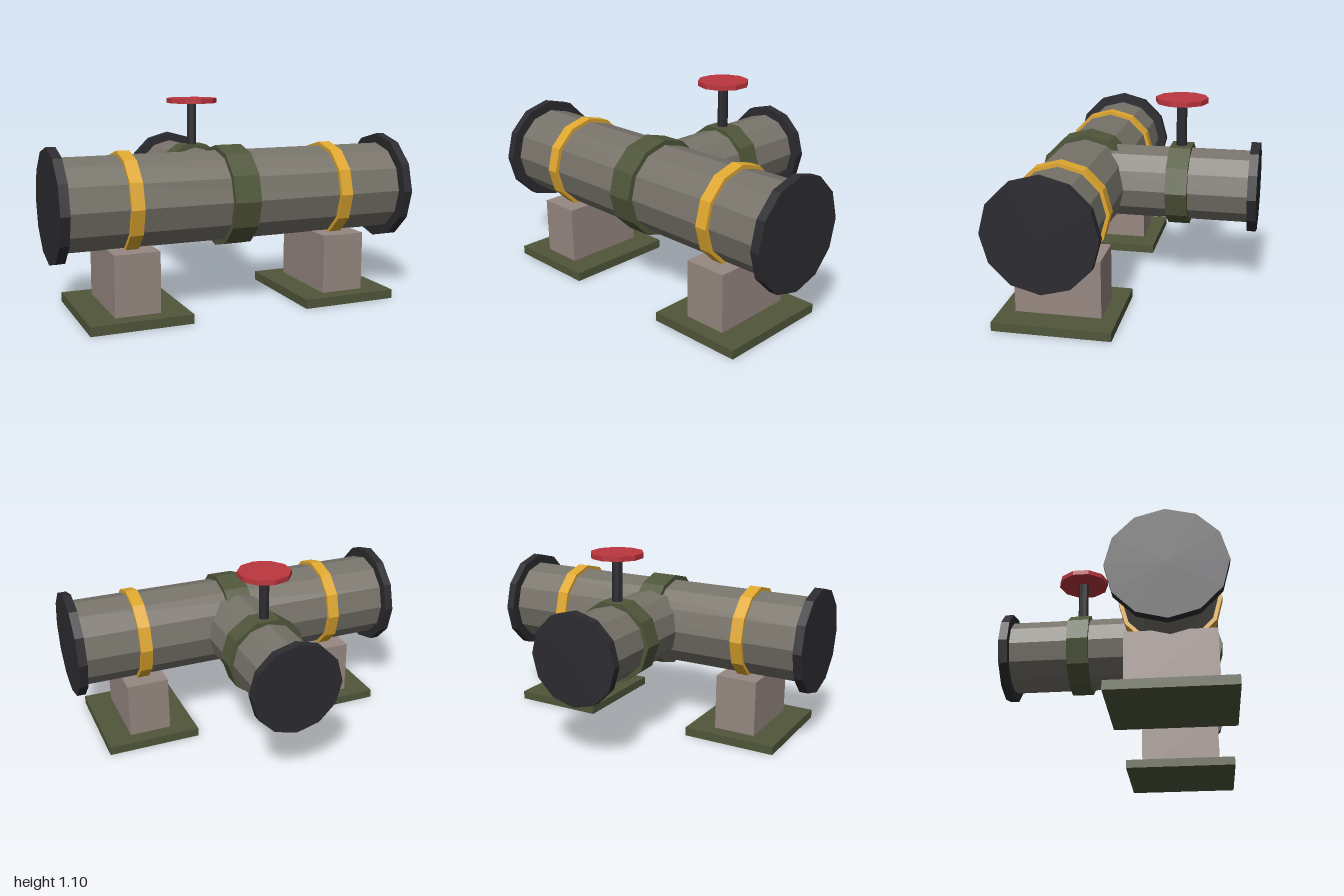
import * as THREE from 'three';

const mat = (color) => new THREE.MeshStandardMaterial({ color, flatShading: true });

export function createModel() {
  const model = new THREE.Group();
  const steel = mat(0x77736a), dark = mat(0x2c2b30), olive = mat(0x50563a);
  const concrete = mat(0x978882), yellow = mat(0xe0a830), red = mat(0xbc363e);
  const AXIS_Y = 0.6, MAIN_Z = 0.34, VALVE_Z = -0.21;

  const add = (name, geometry, material, x, y, z) => {
    const mesh = new THREE.Mesh(geometry, material);
    mesh.name = name;
    mesh.position.set(x, y, z);
    model.add(mesh);
    return mesh;
  };

  // Faceted drum lying along x, centred on the main pipe axis
  const alongX = (name, r, length, x, material) =>
    add(name, new THREE.CylinderGeometry(r, r, length, 12).rotateZ(Math.PI / 2), material, x, AXIS_Y, MAIN_Z);

  // Faceted drum lying along z, from z0 to z1, with a corner on the x axis
  const alongZ = (name, r, z0, z1, sides, material) =>
    add(name, new THREE.CylinderGeometry(r, r, z1 - z0, sides).rotateY(Math.PI / 2).rotateX(Math.PI / 2),
      material, 0, AXIS_Y, (z0 + z1) / 2);

  // Main pipe and its central collar
  alongX('mainPipe', 0.25, 1.92, 0, steel);
  alongX('mainCollar', 0.278, 0.15, 0, olive);

  // End flanges, painted bands and supports on both sides
  for (const [side, s] of [['left', 1], ['right', -1]]) {
    alongX(side + 'Flange', 0.305, 0.05, s * 0.975, dark);
    alongX(side + 'Band', 0.271, 0.07, s * 0.6, yellow);
    add(side + 'SupportBlock', new THREE.BoxGeometry(0.245, 0.335, 0.476), concrete, s * 0.6, 0.2075, MAIN_Z);
    add(side + 'SupportBase', new THREE.BoxGeometry(0.546, 0.05, 0.65), olive, s * 0.6, 0.025, MAIN_Z);
  }

  // Branch pipe running to the back
  alongZ('branchPipe', 0.211, -0.63, MAIN_Z, 12, steel);
  alongZ('branchFlange', 0.262, -0.66, -0.61, 12, dark);
  alongZ('valveCollar', 0.237, -0.273, -0.15, 10, olive);

  // Valve stem and handwheel
  add('valveStem', new THREE.CylinderGeometry(0.03, 0.03, 0.3, 8), dark, 0, 0.93, VALVE_Z);
  add('valveWheel', new THREE.CylinderGeometry(0.15, 0.15, 0.028, 10), red, 0, 1.09, VALVE_Z);

  return model;
}
